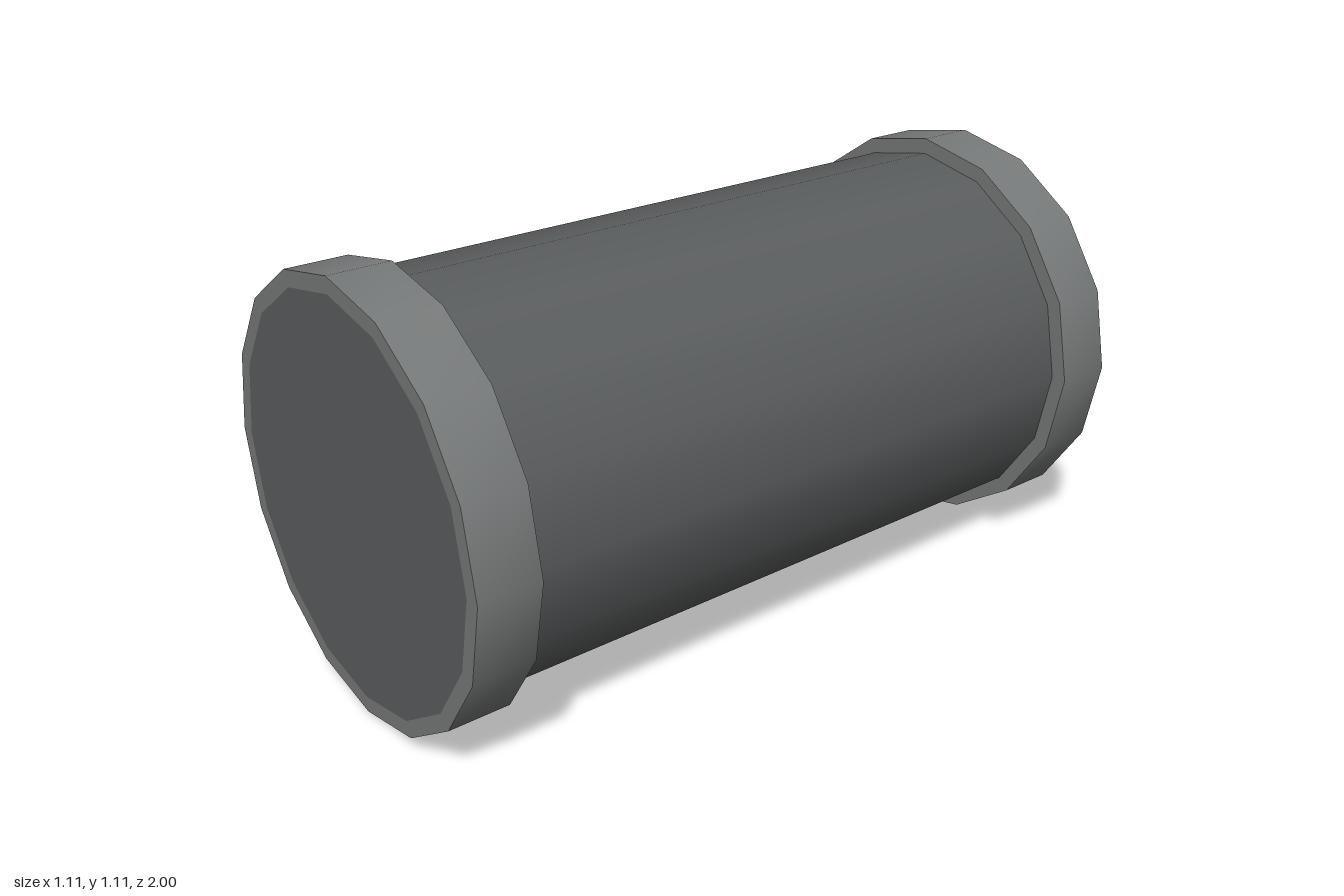
import * as THREE from 'three';
import { toCreasedNormals } from 'three/addons/utils/BufferGeometryUtils.js';

const SIDES = 16;
const LENGTH = 2;
const RIM_RADIUS = 0.555;
const BODY_RADIUS = 0.513;
const RIM_DEPTH = 0.16;

// Corners of a regular polygon with a corner on each axis
function polygon(radius) {
  return Array.from({ length: SIDES }, (_, i) => {
    const a = (i / SIDES) * Math.PI * 2;
    return new THREE.Vector2(Math.cos(a) * radius, Math.sin(a) * radius);
  });
}

export function createModel() {
  const group = new THREE.Group();
  group.name = 'barrel';
  const bodyMaterial = new THREE.MeshStandardMaterial({ color: 0x5a5d5e });
  const rimMaterial = new THREE.MeshStandardMaterial({ color: 0x777a7a });

  // Closed drum lying along z
  const bodyGeometry = new THREE.CylinderGeometry(BODY_RADIUS, BODY_RADIUS, LENGTH, SIDES);
  bodyGeometry.rotateX(Math.PI / 2);
  const body = new THREE.Mesh(bodyGeometry, bodyMaterial);
  body.name = 'body';
  body.position.y = RIM_RADIUS;
  group.add(body);

  // Raised band around each end, flush with the drum's end faces
  const ring = new THREE.Shape(polygon(RIM_RADIUS));
  ring.holes.push(new THREE.Path(polygon(BODY_RADIUS)));
  const rimGeometry = toCreasedNormals(
    new THREE.ExtrudeGeometry(ring, { depth: RIM_DEPTH, bevelEnabled: false }), 0.6);
  rimGeometry.translate(0, 0, -RIM_DEPTH / 2);
  for (const [name, side] of [['frontRim', 1], ['backRim', -1]]) {
    const rim = new THREE.Mesh(rimGeometry, rimMaterial);
    rim.name = name;
    rim.position.set(0, RIM_RADIUS, side * (LENGTH - RIM_DEPTH) / 2);
    group.add(rim);
  }

  return group;
}
